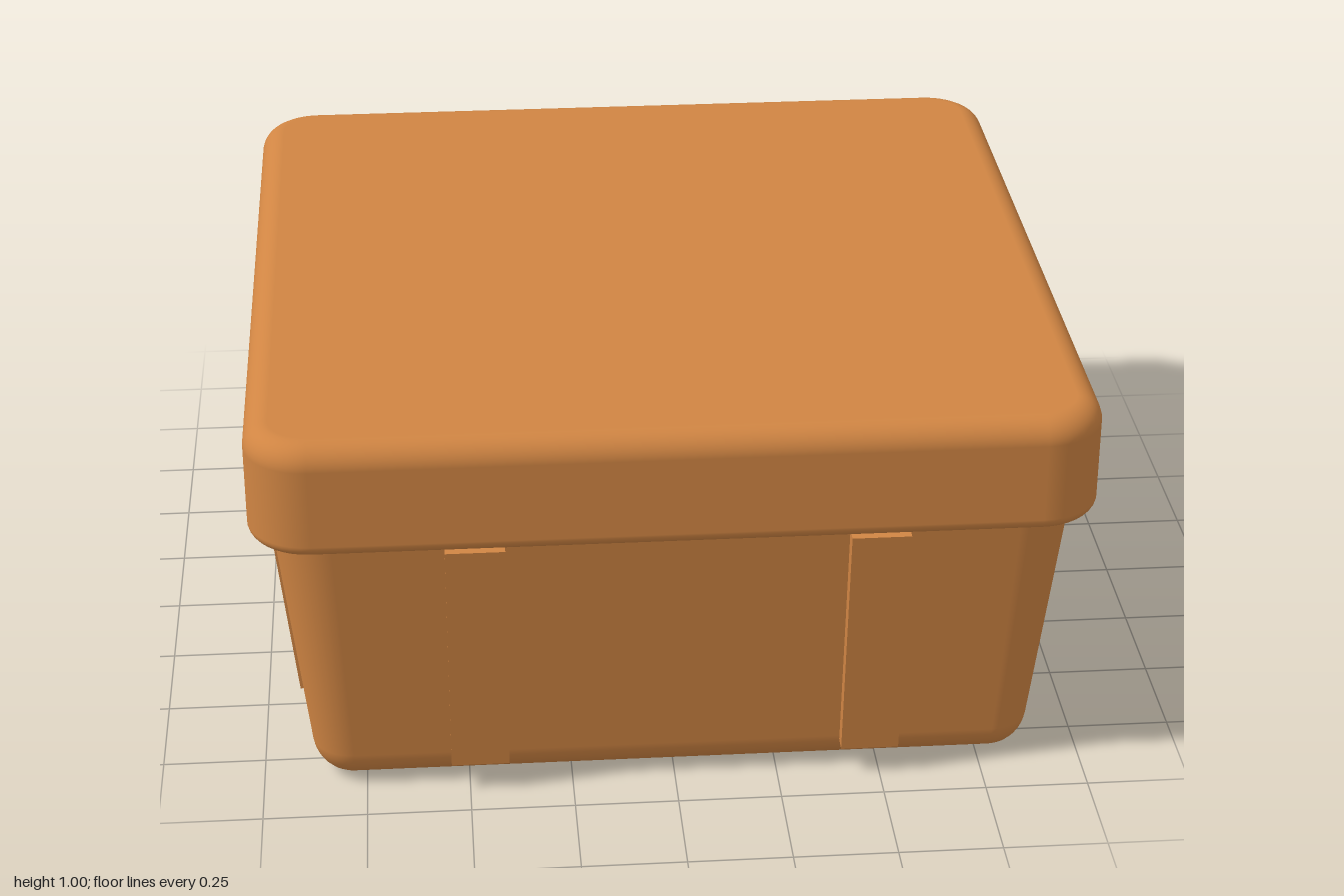
import * as THREE from 'three';

const SEG = 10; // steps per rounded corner

// Point on a profile arc: half width, height, corner radius, tilt of the normal
function arc(cx, cy, radius, from, to, cornerRadius, fullHalf) {
  const layers = [];
  for (let i = 0; i <= 8; i++) {
    const tilt = from + ((to - from) * i) / 8;
    const half = cx + radius * Math.cos(tilt);
    layers.push({ half, y: cy + radius * Math.sin(tilt), r: Math.max(0, cornerRadius - (fullHalf - half)), tilt });
  }
  return layers;
}

// Stacks rounded squares from bottom to top, with exact smooth normals
function loft(layers, skip = () => false) {
  const position = [], normal = [], index = [];
  const perRing = 4 * (SEG + 1);
  for (const { half, y, r, tilt } of layers) {
    for (let k = 0; k < 4; k++) {
      const sx = k === 0 || k === 3 ? 1 : -1;
      const sz = k < 2 ? 1 : -1;
      for (let s = 0; s <= SEG; s++) {
        const a = (k + s / SEG) * Math.PI / 2;
        position.push(sx * (half - r) + r * Math.cos(a), y, sz * (half - r) + r * Math.sin(a));
        normal.push(Math.cos(tilt) * Math.cos(a), Math.sin(tilt), Math.cos(tilt) * Math.sin(a));
      }
    }
  }
  for (let i = 0; i < layers.length - 1; i++) {
    for (let j = 0; j < perRing; j++) {
      if (skip(i, j)) continue;
      const a = i * perRing + j, b = i * perRing + ((j + 1) % perRing);
      const c = a + perRing, d = b + perRing;
      index.push(a, c, b, b, c, d);
    }
  }
  const geometry = new THREE.BufferGeometry();
  geometry.setAttribute('position', new THREE.Float32BufferAttribute(position, 3));
  geometry.setAttribute('normal', new THREE.Float32BufferAttribute(normal, 3));
  geometry.setIndex(index);
  return geometry;
}

// Stadium outline of the hand slot
function pill(target, halfLength, radius, cy) {
  const e = halfLength - radius;
  target.moveTo(-e, cy - radius);
  target.lineTo(e, cy - radius);
  target.absarc(e, cy, radius, -Math.PI / 2, Math.PI / 2, false);
  target.lineTo(-e, cy + radius);
  target.absarc(-e, cy, radius, Math.PI / 2, Math.PI * 1.5, false);
  return target;
}

export function createModel() {
  const model = new THREE.Group();
  model.name = 'storageBox';
  const orange = new THREE.MeshStandardMaterial({ color: 0xd08543 });
  orange.name = 'orange plastic';
  const navy = new THREE.MeshStandardMaterial({ color: 0x263a5a });
  navy.name = 'navy recess';

  const add = (parent, name, geometry, material) => {
    const mesh = new THREE.Mesh(geometry, material);
    mesh.name = name;
    parent.add(mesh);
    return mesh;
  };
  const down = -Math.PI / 2, up = Math.PI / 2;
  const lean = Math.atan(0.11);

  // Tapered tub with a rounded bottom edge
  add(model, 'tub', loft([
    { half: 0, y: 0, r: 0, tilt: down },
    ...arc(0.78, 0.1, 0.1, down, -lean, 0.1, 0.88),
    { half: 0.948, y: 0.72, r: 0.14, tilt: -lean },
  ]), orange);

  // Lid shell, left open where the slot panels sit
  const lidLayers = [
    { half: 0, y: 0.715, r: 0, tilt: down },
    ...arc(0.97, 0.745, 0.03, down, 0, 0.15, 1),
    ...arc(0.94, 0.94, 0.06, 0, up, 0.15, 1),
    { half: 0, y: 1, r: 0, tilt: up },
  ];
  const n = SEG + 1;
  add(model, 'lid', loft(lidLayers, (i, j) => i === 9 && (j === 2 * n - 1 || j === 4 * n - 1)), orange);

  // Hand slots on both sides of the lid
  const slotY = 0.858, slotHalf = 0.312, slotR = 0.076, depth = 0.1;
  for (const side of [1, -1]) {
    const slot = new THREE.Group();
    slot.name = side > 0 ? 'leftHandSlot' : 'rightHandSlot';
    slot.rotation.y = side * Math.PI / 2;
    model.add(slot);

    const panel = new THREE.Shape([
      new THREE.Vector2(-0.85, 0.745), new THREE.Vector2(0.85, 0.745),
      new THREE.Vector2(0.85, 0.94), new THREE.Vector2(-0.85, 0.94),
    ]);
    panel.holes.push(pill(new THREE.Path(), slotHalf, slotR, slotY));
    add(slot, 'slotPanel', new THREE.ShapeGeometry(panel, 20), orange).position.z = 1;

    const wall = pill(new THREE.Shape(), slotHalf + 0.004, slotR + 0.004, slotY);
    wall.holes.push(pill(new THREE.Path(), slotHalf, slotR, slotY));
    add(slot, 'slotWall', new THREE.ExtrudeGeometry(wall, {
      depth: depth - 0.001, bevelEnabled: false, curveSegments: 20,
    }), navy).position.z = 1 - depth;

    const back = pill(new THREE.Shape(), slotHalf + 0.002, slotR + 0.002, slotY);
    add(slot, 'slotBack', new THREE.ShapeGeometry(back, 20), navy).position.z = 1.001 - depth;
  }

  // Two leaning ribs on each of the four sides
  const ribGeometry = new THREE.BoxGeometry(0.14, 0.637, 0.06);
  for (let k = 0; k < 4; k++) {
    const sideRibs = new THREE.Group();
    sideRibs.name = ['frontRibs', 'leftRibs', 'backRibs', 'rightRibs'][k];
    sideRibs.rotation.y = k * Math.PI / 2;
    model.add(sideRibs);
    for (const x of [-0.474, 0.474]) {
      const rib = add(sideRibs, 'rib', ribGeometry, orange);
      rib.position.set(x, 0.393, 0.92);
      rib.rotation.x = lean;
    }
  }
  return model;
}
